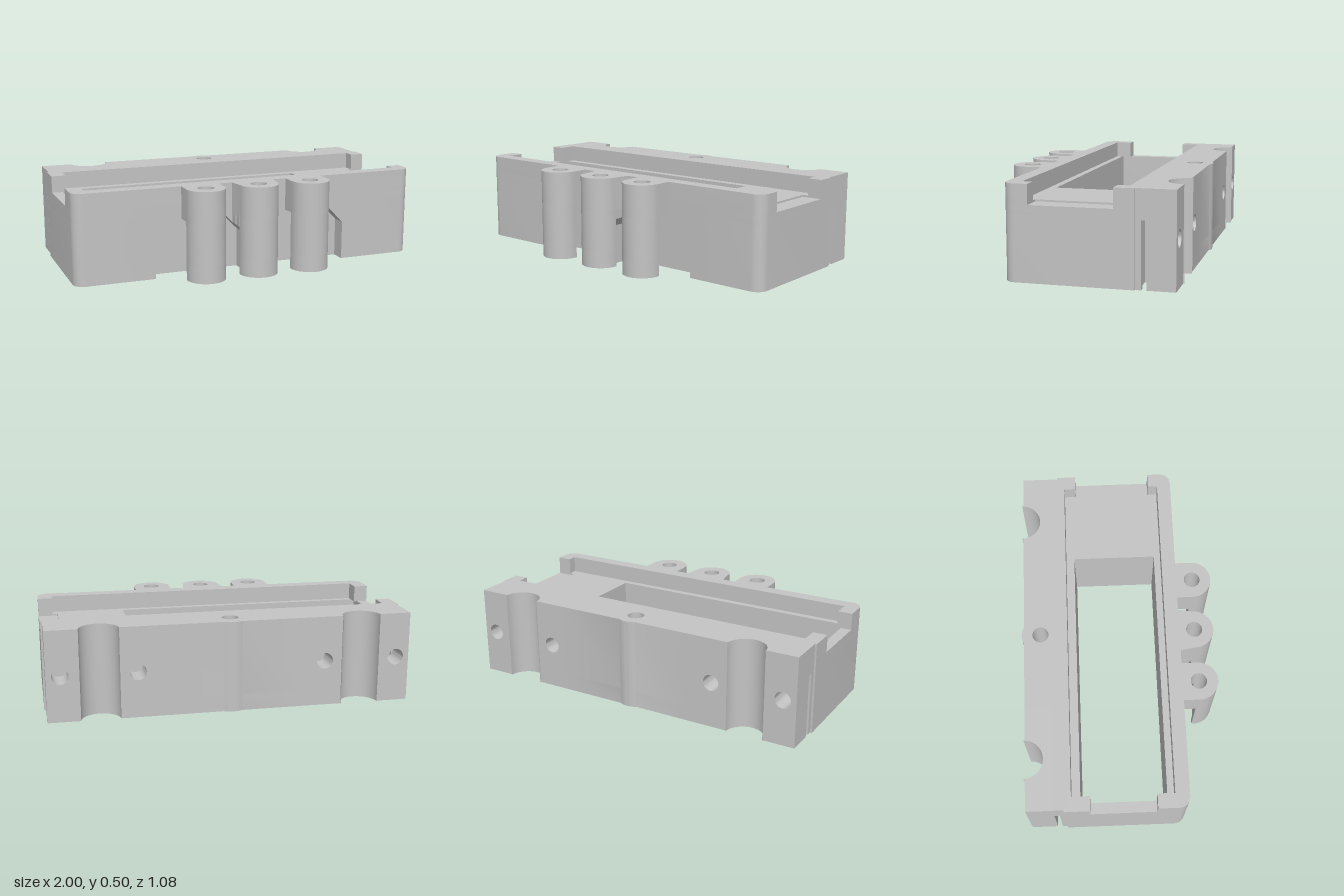
import * as THREE from 'three';
import { toCreasedNormals } from 'three/addons/utils/BufferGeometryUtils.js';

const grey = new THREE.MeshStandardMaterial({ color: 0xc4c4c4 });
grey.name = 'grey plastic';

// points on an arc, in plan coordinates
function arc(cx, cz, r, a0, a1, n) {
  return Array.from({ length: n + 1 }, (_, i) => {
    const a = a0 + ((a1 - a0) * i) / n;
    return [cx + r * Math.cos(a), cz + r * Math.sin(a)];
  });
}
const circle = (cx, cz, r, n = 28) => arc(cx, cz, r, 0, Math.PI * 2, n).slice(0, n);
const mirrorX = (pts) => pts.map(([x, y]) => [-x, y]).reverse();

export function createModel() {
  const model = new THREE.Group();

  function add(name, geo) {
    const mesh = new THREE.Mesh(toCreasedNormals(geo, 0.6), grey);
    mesh.name = name;
    model.add(mesh);
  }
  // outlines run counter-clockwise and holes clockwise, so every wall faces outwards
  function extrude(pts, holes, depth) {
    const oriented = (list, clockwise) => {
      const v = list.map(([a, b]) => new THREE.Vector2(a, b));
      return THREE.ShapeUtils.isClockWise(v) === clockwise ? v : v.reverse();
    };
    const shape = new THREE.Shape(oriented(pts, false));
    for (const h of holes) shape.holes.push(new THREE.Path(oriented(h, true)));
    return new THREE.ExtrudeGeometry(shape, { depth, bevelEnabled: false });
  }
  // plan outline [x, z] raised from y0 to y1
  function slab(name, pts, y0, y1, holes = []) {
    const flip = (list) => list.map(([x, z]) => [x, -z]);
    const geo = extrude(flip(pts), holes.map(flip), y1 - y0);
    add(name, geo.rotateX(-Math.PI / 2).translate(0, y0, 0));
  }
  // front outline [x, y] running from z0 to z1
  function wall(name, pts, z0, z1, holes = []) {
    add(name, extrude(pts, holes, z1 - z0).translate(0, 0, z0));
  }

  const BACK = -0.383, FRONT = 0.345, TOP = 0.497, SEAT = 0.403, ROOF = 0.32;
  const cornerR = arc(0.94, FRONT - 0.06, 0.06, 0, Math.PI / 2, 8);
  const cornerL = mirrorX(cornerR);
  const frontGap = [[0.6, FRONT], [0.6, 0.26], [-0.6, 0.26], [-0.6, FRONT]];
  const window = [[-0.94, -0.238], [0.505, -0.238], [0.505, 0.23], [-0.94, 0.23]];
  const sideL = [[-1, -0.326], [-0.99, -0.326]];
  const sideR = [[0.99, -0.326], [1, -0.326]];

  // lower tray, with nut pockets along its back edge
  const pockets = [
    [0.11, BACK], [0.11, -0.31], [0.58, -0.31], [0.58, BACK], [0.84, BACK], [0.84, -0.34],
    [0.96, -0.34], [0.96, -0.355], [0.99, -0.355],
  ];
  slab('lowerTray', [...mirrorX(pockets), ...pockets, ...sideR, ...cornerR, ...frontGap, ...cornerL, ...sideL],
    0, 0.343, [window]);

  // solid band above the pockets, then the seat with its lowered right end
  const backEdge = [[-0.99, BACK], [0.99, BACK]];
  slab('upperTray', [...backEdge, ...sideR, ...cornerR, ...frontGap, ...cornerL, ...sideL], 0.343, 0.393, [window]);
  const lowEnd = [[1, -0.22], [0.89, -0.22], [0.89, 0.213], [1, 0.213]];
  slab('seat', [...backEdge, ...sideR, ...lowEnd, ...cornerR, ...frontGap, ...cornerL, ...sideL], 0.393, SEAT, [window]);

  // rim, open at both ends
  slab('backRim', [
    ...backEdge, ...sideR, [1, -0.22], [0.92, -0.22], [0.92, -0.285],
    [-0.92, -0.285], [-0.92, -0.185], [-1, -0.185], ...sideL,
  ], SEAT, TOP);
  slab('frontRim', [
    [-1, 0.173], [-0.92, 0.173], [-0.92, 0.267], [0.92, 0.267], [0.92, 0.213], [1, 0.213],
    ...cornerR, ...cornerL,
  ], SEAT, TOP);

  // front wall with two chamfered recesses
  const recess = [[0.06, 0], [0.06, 0.217], [0.163, ROOF], [0.457, ROOF], [0.56, 0.217], [0.56, 0]];
  wall('frontWall', [
    [-0.6, 0], ...mirrorX(recess), ...recess, [0.6, 0], [0.6, SEAT], [-0.6, SEAT],
  ], 0.26, FRONT);

  // screw bosses: full above the recess, hollow front halves below
  function boss(name, cx, cz, r, flare) {
    const outer = arc(cx, cz, r, 0, Math.PI, 24);
    slab(name + 'Top', [[cx + r + flare, FRONT], ...outer, [cx - r - flare, FRONT]], ROOF, TOP, [circle(cx, cz, 0.045)]);
    const half = (bore, n) => [
      [cx + r, 0.422], ...outer, [cx - r, 0.422], [cx - bore, 0.422],
      ...arc(cx, cz, bore, Math.PI, 0, n), [cx + bore, 0.422],
    ];
    slab(name + 'Shell', half(0.045, 14), 0.09, ROOF);
    slab(name + 'NutPocket', half(0.08, 3), 0, 0.09);
  }
  boss('leftBoss', 0.305, 0.434, 0.107, 0);
  boss('rightBoss', -0.305, 0.434, 0.107, 0);
  boss('centreBoss', 0, 0.428, 0.108, 0.014);

  // web tying the centre boss to the wall, split around the screw hole
  const webSide = [[0.06, 0], [0.06, 0.217], [0.118, 0.275], [0.118, ROOF]];
  wall('centreWeb', [...webSide, ...mirrorX(webSide)], FRONT, 0.387);
  const cheek = [[0.045, 0.09], [0.06, 0.09], [0.06, 0.217], [0.111, 0.268], [0.111, ROOF], [0.045, ROOF]];
  wall('webCheek', cheek, 0.387, 0.422);
  wall('webCheek', mirrorX(cheek), 0.387, 0.422);

  // back block: drilled pieces and scallops on both sides
  for (const s of [1, -1]) {
    for (const [x0, x1, hx] of [[0.815, 0.99, 0.915], [0.42, 0.605, 0.51]]) {
      wall('drilledBackBlock', [[s * x0, 0], [s * x1, 0], [s * x1, TOP], [s * x0, TOP]],
        -0.528, BACK, [circle(s * hx, 0.25, 0.045)]);
    }
    slab('backScallop', [
      [s * 0.71 + 0.105, BACK], ...arc(s * 0.71, -0.535, 0.105, 0, Math.PI, 20), [s * 0.71 - 0.105, BACK],
    ], 0, TOP);
  }

  // middle of the back block, with a rounded bump and a screw hole
  const bump = arc(0, -0.436, 0.105, -Math.PI + 1.06, -1.06, 12);
  const middle = [[-0.42, BACK], [-0.42, -0.528], ...bump, [0.42, -0.528], [0.42, BACK]];
  slab('backMiddle', middle, 0.09, TOP, [circle(0, -0.436, 0.045)]);
  slab('backMiddleNutPocket', middle, 0, 0.09, [circle(0, -0.438, 0.062, 6)]);

  return model;
}
